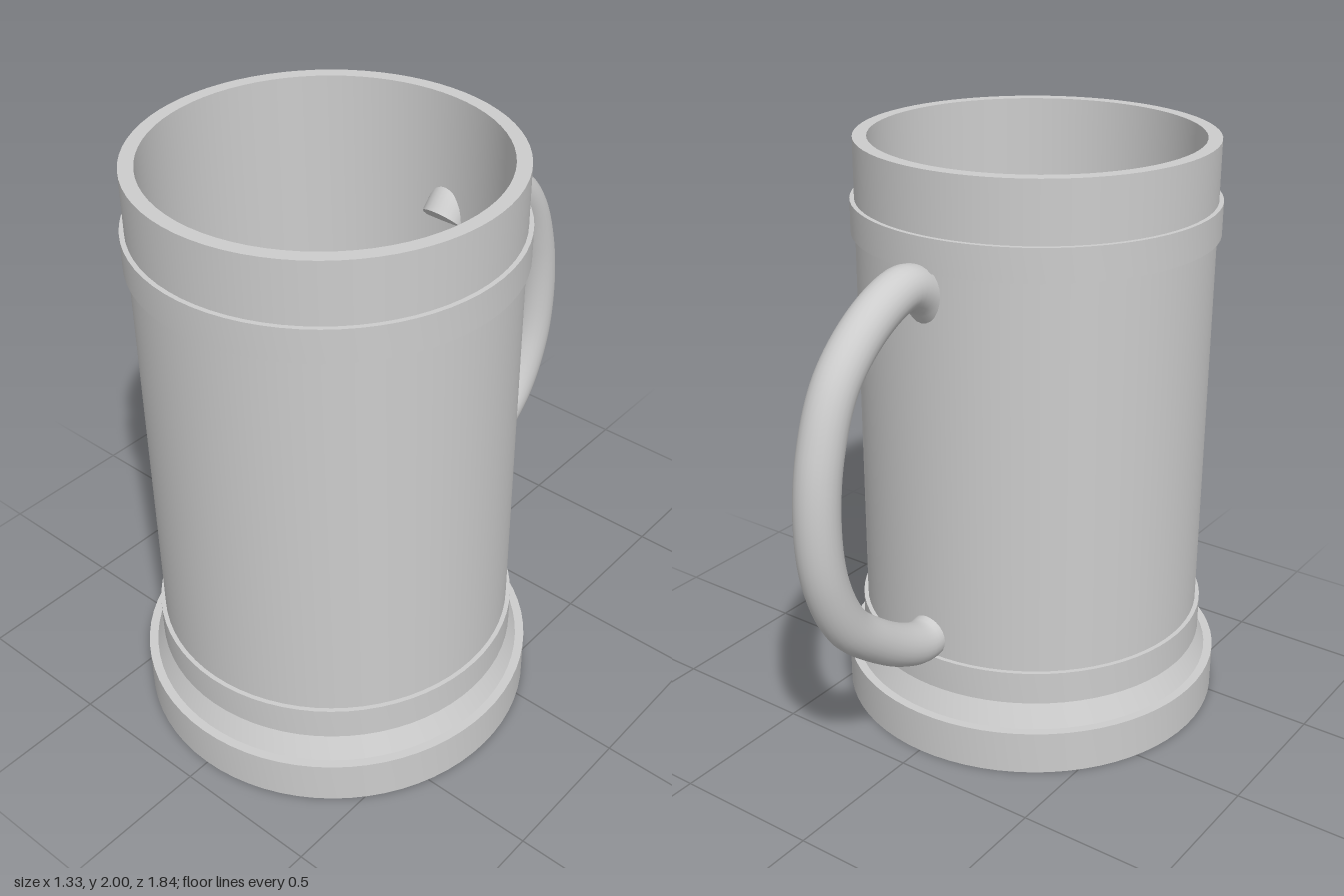
import * as THREE from 'three';
import { toCreasedNormals } from 'three/addons/utils/BufferGeometryUtils.js';

export function createModel() {
  const model = new THREE.Group();
  model.name = 'tankard';
  const metal = new THREE.MeshStandardMaterial({ color: 0xcccccc });
  metal.name = 'pewter grey';

  // All round parts share one upright axis, set forward to balance the handle
  const vessel = new THREE.Group();
  vessel.name = 'vessel';
  vessel.position.set(-0.003, 0, 0.255);
  model.add(vessel);

  // Profile of [radius, height], up the outside and down the inside
  function turned(name, profile) {
    const points = profile.map(([r, y]) => new THREE.Vector2(r, y));
    const geometry = toCreasedNormals(new THREE.LatheGeometry(points, 72), Math.PI / 9);
    const mesh = new THREE.Mesh(geometry, metal);
    mesh.name = name;
    vessel.add(mesh);
  }

  // Foot with a shallow recess underneath and a sloping shoulder
  turned('foot', [
    [0, 0.04], [0.635, 0.04], [0.635, 0], [0.664, 0], [0.664, 0.152],
    [0.634, 0.152], [0.59, 0.24],
  ]);

  // Hollow cup with a flat rim and floor
  turned('cup', [
    [0.592, 0.23], [0.592, 2], [0.546, 2], [0.546, 0.1], [0, 0.1],
  ]);

  // Raised hoops near the bottom and top
  for (const [name, low, high] of [['lowerHoop', 0.235, 0.35], ['upperHoop', 1.69, 1.8]]) {
    turned(name, [[0.59, low], [0.607, low], [0.607, high], [0.59, high]]);
  }

  // Handle: round bar whose ends pass into the cup wall
  const path = new THREE.CatmullRomCurve3([
    [1.565, -0.28], [1.625, -0.34], [1.655, -0.42], [1.595, -0.58],
    [1.45, -0.738], [1.25, -0.82], [1.03, -0.846], [0.83, -0.822],
    [0.65, -0.738], [0.53, -0.605], [0.44, -0.46], [0.411, -0.37], [0.425, -0.285],
  ].map(([y, z]) => new THREE.Vector3(0.014, y, z)), false, 'centripetal');
  const radius = 0.072;
  const handle = new THREE.Group();
  handle.name = 'handle';
  const bar = new THREE.Mesh(new THREE.TubeGeometry(path, 80, radius, 24), metal);
  bar.name = 'handleBar';
  handle.add(bar);

  // Flat caps on the bar ends, facing outward along the path
  for (const t of [0, 1]) {
    const cap = new THREE.Mesh(new THREE.CircleGeometry(radius, 24), metal);
    cap.name = t ? 'lowerHandleEnd' : 'upperHandleEnd';
    const outward = path.getTangentAt(t).multiplyScalar(t ? 1 : -1);
    cap.position.copy(path.getPointAt(t));
    cap.quaternion.setFromUnitVectors(new THREE.Vector3(0, 0, 1), outward);
    handle.add(cap);
  }
  model.add(handle);

  return model;
}
